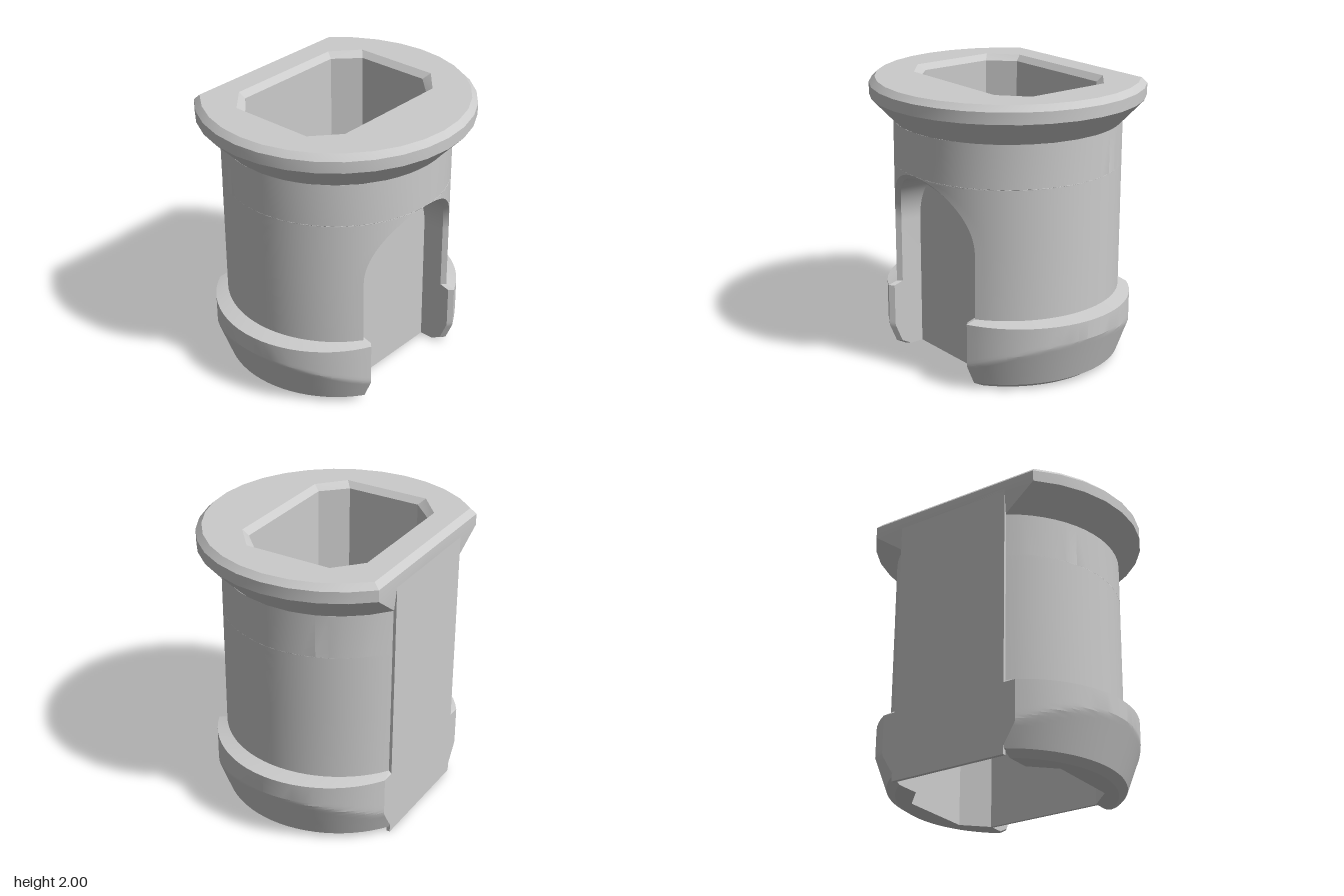
import * as THREE from 'three';
import { toCreasedNormals } from 'three/addons/utils/BufferGeometryUtils.js';

const ZC = -0.14;            // axis of the round body
const BODY_R = 0.79;
const SLOT = 0.46, SLOT_IN = 0.43, SPRING = 0.95; // arched slot: outer/inner radius, spring height

// Right-to-back half of a horizontal cross-section, counter-clockwise from above.
// R: limiting radius, s: sideways shift of the clip circle, w/wi: slot half widths,
// yi: height of the inner slot edge, flat: back cut, e: widening of the bore.
function section({ y, R = BODY_R, s = 0, w = 0, wi = 0, yi = y, flat = 0.68, e = 0 }, n) {
  const r0 = s ? BODY_R : R;
  const radius = a => Math.min(R, s * Math.sin(a) + Math.sqrt(r0 * r0 - (s * Math.cos(a)) ** 2));
  const rf = Math.min(R, Math.hypot(w, Math.sqrt(r0 * r0 - (w - s) ** 2)));
  const rb = Math.min(R, Math.hypot(flat, s + Math.sqrt(r0 * r0 - flat * flat)));
  const a0 = Math.asin(w / rf);
  const a1 = Math.PI - Math.max(Math.acos(Math.min(1, flat / rb)), Math.asin(SLOT_IN / rb));
  const arc = [];
  for (let i = 0; i <= n; i++) {
    const a = a0 + (a1 - a0) * i / n, r = radius(a);
    arc.push([r * Math.sin(a), y, ZC + r * Math.cos(a)]);
  }
  const zf = arc[0][2], zb = arc[n][2];
  const front = 0.29 + e, back = -0.57 - e, side = 0.59 + e, c = SLOT_IN + e * 0.4;
  return [
    [wi, yi, front], [wi, yi, zf - 0.03], ...arc,
    [SLOT_IN, y, zb], [wi, yi, zb], [wi, yi, back],
    [c, y, back], [side, y, back + 0.16], [side, y, front - 0.16], [c, y, front],
  ];
}

// Loft the half sections upwards, mirror them, and close the chosen ends
function loft(levels, n, { bottom = false, top = false }) {
  const rings = levels.map(l => section(l, n)), pos = [];
  const tri = (a, b, c) => {
    pos.push(...a, ...b, ...c);
    for (const p of [a, c, b]) pos.push(-p[0], p[1], p[2]);
  };
  for (let i = 0; i + 1 < rings.length; i++) {
    const lo = rings[i], hi = rings[i + 1];
    for (let j = 0; j < lo.length; j++) {
      const k = (j + 1) % lo.length;
      tri(lo[j], lo[k], hi[k]);
      tri(lo[j], hi[k], hi[j]);
    }
  }
  const cap = (ring, up) => {
    const flat = ring.map(p => new THREE.Vector2(p[0], -p[2]));
    for (const [a, b, c] of THREE.ShapeUtils.triangulateShape(flat, [])) {
      if (up) tri(ring[a], ring[b], ring[c]);
      else tri(ring[a], ring[c], ring[b]);
    }
  };
  if (bottom) cap(rings[0], false);
  if (top) cap(rings[rings.length - 1], true);
  const g = new THREE.BufferGeometry();
  g.setAttribute('position', new THREE.Float32BufferAttribute(pos, 3));
  return toCreasedNormals(g, 0.3);
}

export function createModel() {
  const group = new THREE.Group();
  const material = new THREE.MeshStandardMaterial({ color: 0xcccccc, side: THREE.DoubleSide });
  const add = (name, geometry) => {
    const mesh = new THREE.Mesh(geometry, material);
    mesh.name = name;
    group.add(mesh);
  };
  const box = (name, w, y0, y1, z0, z1) => add(name,
    new THREE.BoxGeometry(w, y1 - y0, z1 - z0).translate(0, (y0 + y1) / 2, (z0 + z1) / 2));

  // Lower clip flange: shifted circles trimmed by a cone
  const slot = { w: SLOT, wi: SLOT_IN }, s = 0.12;
  const levels = [{ y: 0, R: 0.74, s, ...slot }];
  for (let i = 0; i <= 14; i++) {
    levels.push({ y: 0.04 + 0.31 * i / 14, R: 0.8 + 0.11 * i / 14, s, ...slot });
  }
  levels.push({ y: 0.48, R: 0.92, s, ...slot }, { y: 0.5, ...slot });

  // Round body, with the slot closing in a half-circle arch
  const steps = 20;
  for (let i = 0; i <= steps; i++) {
    const a = Math.PI / 2 * i / steps, c = i === steps ? 0 : Math.cos(a);
    levels.push({
      y: SPRING + SLOT * Math.sin(a), yi: SPRING + SLOT_IN * Math.sin(a),
      w: SLOT * c, wi: SLOT_IN * c,
    });
  }
  levels.push({ y: 1.71 });
  add('bodyWithClipFlange', loft(levels, 24, { bottom: true }));

  // Flared top rim with chamfered outer and bore edges
  add('topRim', loft([
    { y: 1.71 },
    { y: 1.88, R: 0.95 },
    { y: 1.96, R: 0.95 },
    { y: 2, R: 0.91, flat: 0.64, e: 0.04 },
  ], 12, { top: true }));

  // Thin walls behind the arch and across the flat back
  box('slotPanel', 0.86, 0, 1.4, 0.29, 0.31);
  box('backPanel', 0.868, 0, 1.9, -0.82, -0.795);
  return group;
}
